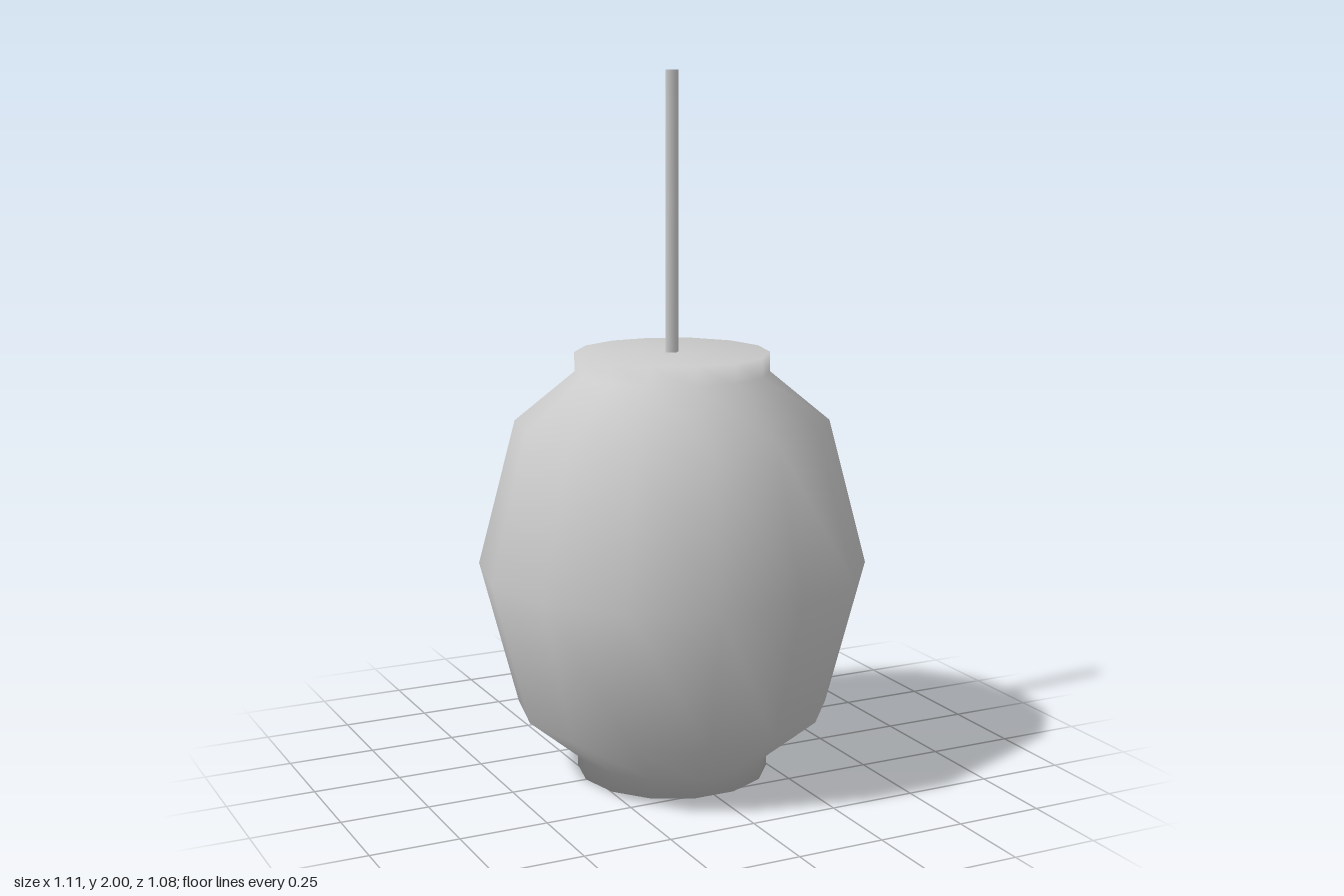
import * as THREE from 'three';

export function createModel() {
  const group = new THREE.Group();
  const material = new THREE.MeshStandardMaterial({ color: 0xcccccc });

  // Fourteen-sided lantern body: mirrored profile of closed collar, shoulder and belly
  const height = 1.22;
  const lower = [[0, 0], [0.275, 0], [0.275, 0.055], [0.445, 0.195]];
  const upper = lower.map(([r, y]) => [r, height - y]).reverse();
  const profile = [...lower, [0.553, height / 2], ...upper]
    .map(([r, y]) => new THREE.Vector2(r, y));
  const body = new THREE.Mesh(new THREE.LatheGeometry(profile, 14, Math.PI / 2), material);
  body.name = 'lanternBody';
  group.add(body);

  // Thin four-sided hanging cord
  const cordLength = 2 - height;
  const cord = new THREE.Mesh(new THREE.CylinderGeometry(0.02, 0.02, cordLength, 4), material);
  cord.name = 'hangingCord';
  cord.position.y = height + cordLength / 2;
  group.add(cord);

  return group;
}
